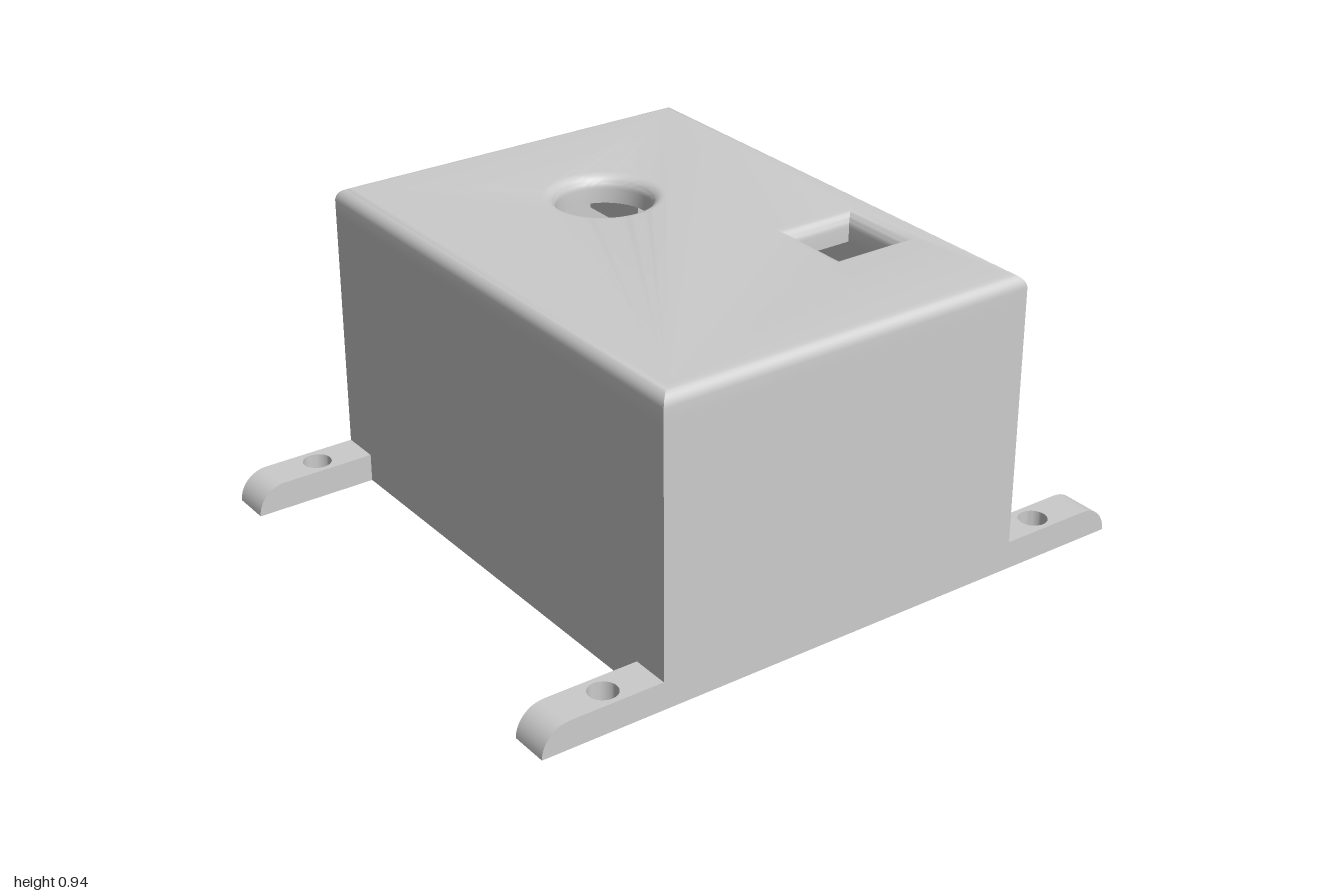
import * as THREE from 'three';
import { toCreasedNormals } from 'three/addons/utils/BufferGeometryUtils.js';

const W = 0.615, D = 0.833, H = 0.935;          // half width, half depth, height
const SIDE = 0.123, END = 0.085, ROOF = 0.085;  // wall and roof thickness
const R = 0.04;                                 // edge rounding
const material = new THREE.MeshStandardMaterial({ color: 0xcccccc });
const v = (x, y) => new THREE.Vector2(x, y);

function rect(x0, x1, y0, y1) {
  return [v(x0, y0), v(x1, y0), v(x1, y1), v(x0, y1)];
}

function circle(x, y, r, n = 40) {
  return Array.from({ length: n }, (_, i) => {
    const a = (i / n) * Math.PI * 2;
    return v(x + r * Math.cos(a), y + r * Math.sin(a));
  });
}

// Closed solid through layers { z, outline, holes }, loops counter-clockwise
function layeredSolid(layers) {
  const pos = [];
  const tri = (...pts) => pts.forEach(([p, z]) => pos.push(p.x, p.y, z));
  const loops = layers.map(({ outline, holes = [] }) =>
    [outline, ...holes.map((h) => [...h].reverse())]);
  for (let k = 0; k + 1 < layers.length; k++) {
    const z0 = layers[k].z, z1 = layers[k + 1].z;
    loops[k].forEach((loop, l) => loop.forEach((a, i) => {
      const j = (i + 1) % loop.length, up = loops[k + 1][l];
      tri([a, z0], [loop[j], z0], [up[j], z1]);
      tri([a, z0], [up[j], z1], [up[i], z1]);
    }));
  }
  for (const k of [0, layers.length - 1]) {
    const all = loops[k].flat(), z = layers[k].z;
    for (const [a, b, c] of THREE.ShapeUtils.triangulateShape(loops[k][0], loops[k].slice(1))) {
      if (k) tri([all[a], z], [all[b], z], [all[c], z]);
      else tri([all[a], z], [all[c], z], [all[b], z]);
    }
  }
  const g = new THREE.BufferGeometry();
  g.setAttribute('position', new THREE.Float32BufferAttribute(pos, 3));
  return toCreasedNormals(g, 0.6);
}

// Steps around a quarter round: distance along and inset
const rounding = Array.from({ length: 9 }, (_, i) => {
  const t = (i / 8) * Math.PI / 2;
  return { along: R * Math.sin(t), inset: R * (1 - Math.cos(t)) };
});

// Roof with rounded rim, a round opening and a square opening
function roofGeometry() {
  const layer = (z, e) => ({
    z,
    outline: rect(-W + e, W - e, -D + e, D - e),
    holes: [circle(0, 0.32, 0.143 + e, 64), rect(0.28 - e, 0.49 + e, -0.43 - e, -0.22 + e)],
  });
  const layers = [layer(H - ROOF, 0), ...rounding.map((s) => layer(H - R + s.along, s.inset))];
  return layeredSolid(layers).rotateX(-Math.PI / 2);
}

// Back wall with a cable notch rounded on its outer rim
function backWallGeometry() {
  const layer = (z, e) => {
    const w = 0.13 + e, h = 0.21 + e, r = 0.06 + e, notch = [v(-w, 0)];
    for (const [cx, start] of [[-w + r, Math.PI], [w - r, Math.PI / 2]]) {
      for (let i = 0; i <= 8; i++) {
        const a = start - (i / 8) * Math.PI / 2;
        notch.push(v(cx + r * Math.cos(a), h - r + r * Math.sin(a)));
      }
    }
    notch.push(v(w, 0));
    return { z, outline: [v(-W, 0), ...notch, v(W, 0), v(W, H - ROOF), v(-W, H - ROOF)] };
  };
  const outer = [...rounding].reverse().map((s) => layer(-D + R - s.along, s.inset));
  return layeredSolid([...outer, layer(-D + END, 0)]);
}

// Mounting tab with a quarter-round tip and a screw hole
function tabGeometry() {
  const t = 0.088, half = 0.0615, layers = [];
  for (let i = 0; i <= 10; i++) {
    const a = (i / 10) * Math.PI / 2;
    layers.push({
      z: t * Math.sin(a),
      outline: rect(W, 1 - t + t * Math.cos(a), -half, half),
      holes: [circle(0.767, 0, 0.044, 32)],
    });
  }
  return layeredSolid(layers).rotateX(-Math.PI / 2);
}

export function createModel() {
  const model = new THREE.Group();
  model.name = 'enclosure';
  const add = (name, geometry, x = 0, y = 0, z = 0) => {
    const mesh = new THREE.Mesh(geometry, material);
    mesh.name = name;
    mesh.position.set(x, y, z);
    model.add(mesh);
    return mesh;
  };

  const wallH = H - ROOF;
  add('roof', roofGeometry());
  add('backWall', backWallGeometry());
  add('frontWall', new THREE.BoxGeometry(2 * W, wallH, END), 0, wallH / 2, D - END / 2);

  const sideWall = new THREE.BoxGeometry(SIDE, wallH, 2 * (D - END));
  const block = new THREE.BoxGeometry(0.25, 0.16, 0.26);
  const tab = tabGeometry();
  for (const s of [1, -1]) {
    const side = s > 0 ? 'left' : 'right';
    add(side + 'Wall', sideWall, s * (W - SIDE / 2), wallH / 2, 0);
    for (const e of [1, -1]) {
      const end = e > 0 ? 'Front' : 'Back';
      // Support block under the roof in each inner corner
      add(side + end + 'CornerBlock', block, s * (W - SIDE - 0.125), wallH - 0.08, e * (D - END - 0.13));
      add(side + end + 'MountingTab', tab, 0, 0, e * (D - 0.0615)).rotation.y = s > 0 ? 0 : Math.PI;
    }
  }
  return model;
}
